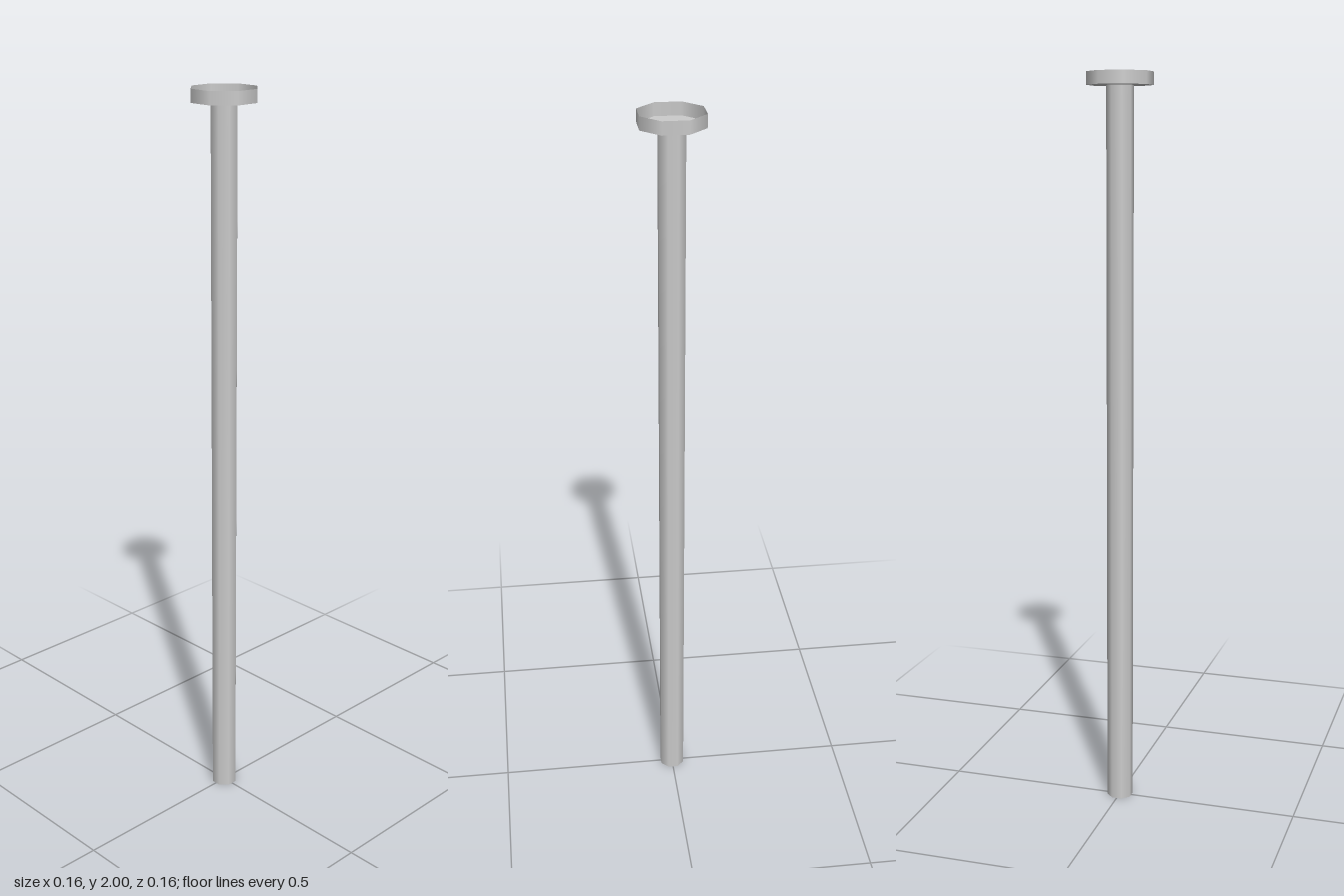
import * as THREE from 'three';

const SIDES = 8;
const TURN = Math.PI / SIDES; // flats face the axes
const SHAFT_R = 0.0361, FLANGE_R = 0.0883;
const FLOOR_Y = 1.966, TOP_Y = 2;

export function createModel() {
  const group = new THREE.Group();
  const material = new THREE.MeshStandardMaterial({ color: 0xcccccc, side: THREE.DoubleSide });

  const add = (name, geometry) => {
    const mesh = new THREE.Mesh(geometry, material);
    mesh.name = name;
    group.add(mesh);
  };

  // Open-ended octagonal sleeve between two heights
  const sleeve = (radius, y0, y1) =>
    new THREE.CylinderGeometry(radius, radius, y1 - y0, SIDES, 1, true, TURN)
      .translate(0, (y0 + y1) / 2, 0);

  // Long hollow shaft
  add('shaft', sleeve(SHAFT_R, 0, FLOOR_Y));

  // Shallow cup at the top: floor with a hole, and an upright rim
  add('flangeFloor', new THREE.RingGeometry(SHAFT_R, FLANGE_R, SIDES, 1, TURN)
    .rotateX(-Math.PI / 2).translate(0, FLOOR_Y, 0));
  add('flangeRim', sleeve(FLANGE_R, FLOOR_Y, TOP_Y));

  return group;
}
